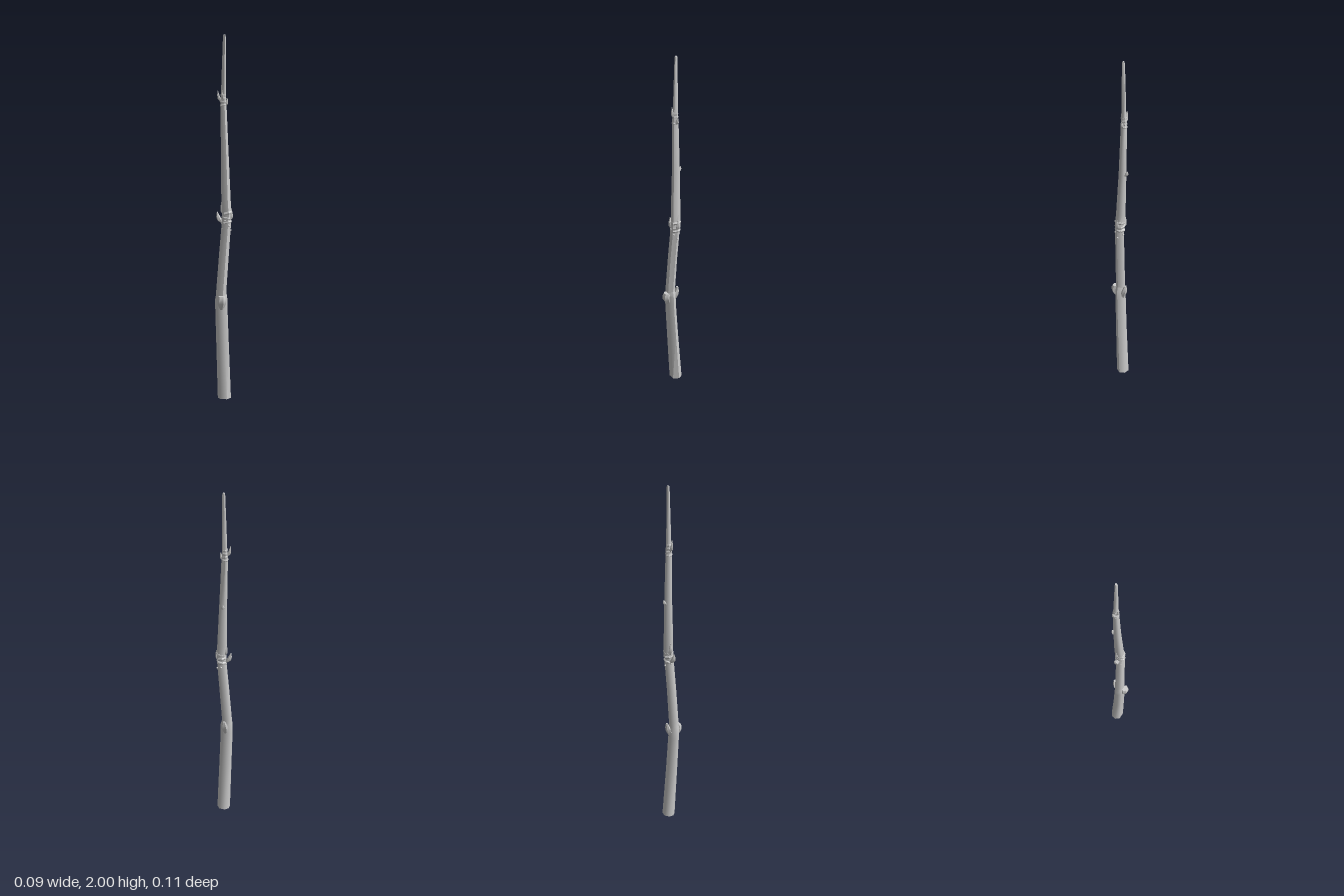
import * as THREE from 'three';
import { toCreasedNormals } from 'three/addons/utils/BufferGeometryUtils.js';

const material = new THREE.MeshStandardMaterial({ color: 0xcccccc });
const STEM_ANGLES = [0, 62, 122, 165, 210, 255, 308];
const BUD_ANGLES = [0, 60, 120, 180, 240, 300];

// Skin horizontal cross-sections [x, y, z, rx, rz], listed from bottom to top
function loft(name, sections, angles, crease = 1.01) {
  const n = angles.length, pos = [], idx = [];
  for (const [x, y, z, rx, rz] of sections)
    for (const d of angles) {
      const a = THREE.MathUtils.degToRad(d);
      pos.push(x + rx * Math.cos(a), y, z + rz * Math.sin(a));
    }
  for (let s = 0; s < sections.length - 1; s++)
    for (let i = 0; i < n; i++) {
      const a = s * n + i, b = s * n + (i + 1) % n;
      idx.push(a, a + n, b, b, a + n, b + n);
    }
  // End caps
  const top = (sections.length - 1) * n;
  for (let i = 1; i < n - 1; i++) {
    idx.push(0, i, i + 1);
    idx.push(top, top + i + 1, top + i);
  }
  const geometry = new THREE.BufferGeometry();
  geometry.setAttribute('position', new THREE.Float32BufferAttribute(pos, 3));
  geometry.setIndex(idx);
  const mesh = new THREE.Mesh(toCreasedNormals(geometry, crease), material);
  mesh.name = name;
  return mesh;
}

// Pointed bud leaning out of the stem in direction (dx, dz)
function bud(name, x, y, z, dx, dz, reach, height, width) {
  const steps = [[0, 0, 0.55], [0.6, 0.3, 1], [0.85, 0.62, 0.7], [1, 1, 0.12]];
  return loft(name, steps.map(([out, up, w]) => [
    x + dx * reach * out, y + height * up, z + dz * reach * out, width * w, width * w,
  ]), BUD_ANGLES, 0.9);
}

// Raised bark ring around a node
function ring(name, x, y, z, r, h, tilt) {
  const mesh = loft(name, [
    [0, -h, 0, r * 0.86, r * 0.86], [0, -h * 0.2, 0, r * 1.08, r * 1.08],
    [0, h * 0.4, 0, r * 1.04, r * 1.04], [0, h, 0, r * 0.8, r * 0.8],
  ], STEM_ANGLES, 0.6);
  mesh.position.set(x, y, z);
  mesh.rotation.z = tilt;
  return mesh;
}

export function createModel() {
  const twig = new THREE.Group();
  twig.name = 'twig';

  // Stem, kinked at each node
  twig.add(loft('lowerStem', [
    [0, 0, -0.021, 0.037, 0.034],
    [-0.008, 0.3, -0.005, 0.035, 0.03],
    [-0.014, 0.52, 0.005, 0.034, 0.028],
    [-0.014, 0.57, 0.006, 0.034, 0.029],
    [-0.015, 0.6, 0.006, 0.027, 0.024],
  ], STEM_ANGLES));
  twig.add(loft('middleStem', [
    [-0.017, 0.56, 0.006, 0.029, 0.026],
    [-0.014, 0.62, 0.005, 0.028, 0.026],
    [0, 0.82, 0, 0.027, 0.025],
    [0.011, 0.97, -0.006, 0.026, 0.025],
    [0.014, 1.04, -0.008, 0.026, 0.025],
  ], STEM_ANGLES));
  twig.add(loft('upperStem', [
    [0.017, 1.02, -0.009, 0.026, 0.025],
    [0.01, 1.1, -0.013, 0.026, 0.026],
    [0.003, 1.35, -0.019, 0.021, 0.021],
    [-0.005, 1.62, -0.021, 0.017, 0.017],
    [-0.006, 1.66, -0.021, 0.015, 0.015],
  ], STEM_ANGLES));
  twig.add(loft('tip', [
    [-0.006, 1.64, -0.021, 0.014, 0.014],
    [-0.003, 1.82, -0.021, 0.011, 0.011],
    [0, 1.985, -0.021, 0.008, 0.008],
    [0, 2, -0.021, 0.006, 0.006],
  ], STEM_ANGLES));

  // Lowest node: leaf scar shelf in front, blunt bud behind
  twig.add(loft('frontLeafScar', [
    [-0.012, 0.51, 0.018, 0.01, 0.01],
    [-0.009, 0.55, 0.036, 0.024, 0.02],
    [-0.008, 0.575, 0.037, 0.023, 0.021],
    [-0.008, 0.59, 0.034, 0.02, 0.016],
  ], BUD_ANGLES, 0.8));
  twig.add(loft('backBud', [
    [-0.01, 0.52, -0.012, 0.01, 0.008],
    [-0.006, 0.56, -0.022, 0.022, 0.016],
    [-0.004, 0.585, -0.03, 0.017, 0.012],
    [-0.004, 0.61, -0.034, 0.008, 0.005],
  ], BUD_ANGLES, 0.8));

  // Middle node: rings, scale scars and paired buds
  [[0.013, 0.995, 0.2], [0.014, 1.02, -0.15], [0.016, 1.045, 0.25]].forEach(
    ([x, y, tilt], i) => twig.add(ring('middleNodeRing' + i, x, y, -0.009, 0.027, 0.01, tilt)));
  twig.add(bud('middleLeftBud', -0.002, 0.985, -0.006, -1, -0.1, 0.036, 0.065, 0.015));
  twig.add(bud('middleInnerBud', 0, 1.03, -0.012, -1, -0.3, 0.014, 0.08, 0.012));
  twig.add(bud('middleRightBud', 0.026, 1.0, -0.009, 1, 0, 0.014, 0.065, 0.013));
  for (let i = 0; i < 7; i++) {
    const a = i * 2.4;
    const wart = new THREE.Mesh(new THREE.IcosahedronGeometry(0.006, 0), material);
    wart.name = 'barkWart' + i;
    wart.position.set(0.012 + 0.024 * Math.cos(a), 0.95 + i * 0.009, -0.008 + 0.024 * Math.sin(a));
    twig.add(wart);
  }

  // Small bud on the back of the upper stem
  twig.add(bud('upperBackBud', 0.002, 1.335, -0.03, 0, -1, 0.018, 0.035, 0.011));

  // Top node: rings and thorn-like buds
  [[1.628, 0.2], [1.645, -0.2], [1.662, 0.15], [1.68, -0.1]].forEach(
    ([y, tilt], i) => twig.add(ring('topNodeRing' + i, -0.006, y, -0.021, 0.0175 - i * 0.001, 0.008, tilt)));
  twig.add(bud('topLeftBud', -0.013, 1.64, -0.021, -1, 0, 0.023, 0.065, 0.009));
  twig.add(bud('topRightBud', 0.002, 1.62, -0.021, 1, 0, 0.014, 0.045, 0.009));
  twig.add(bud('topFrontBud', -0.008, 1.655, -0.014, -0.2, 1, 0.01, 0.05, 0.008));

  return twig;
}
